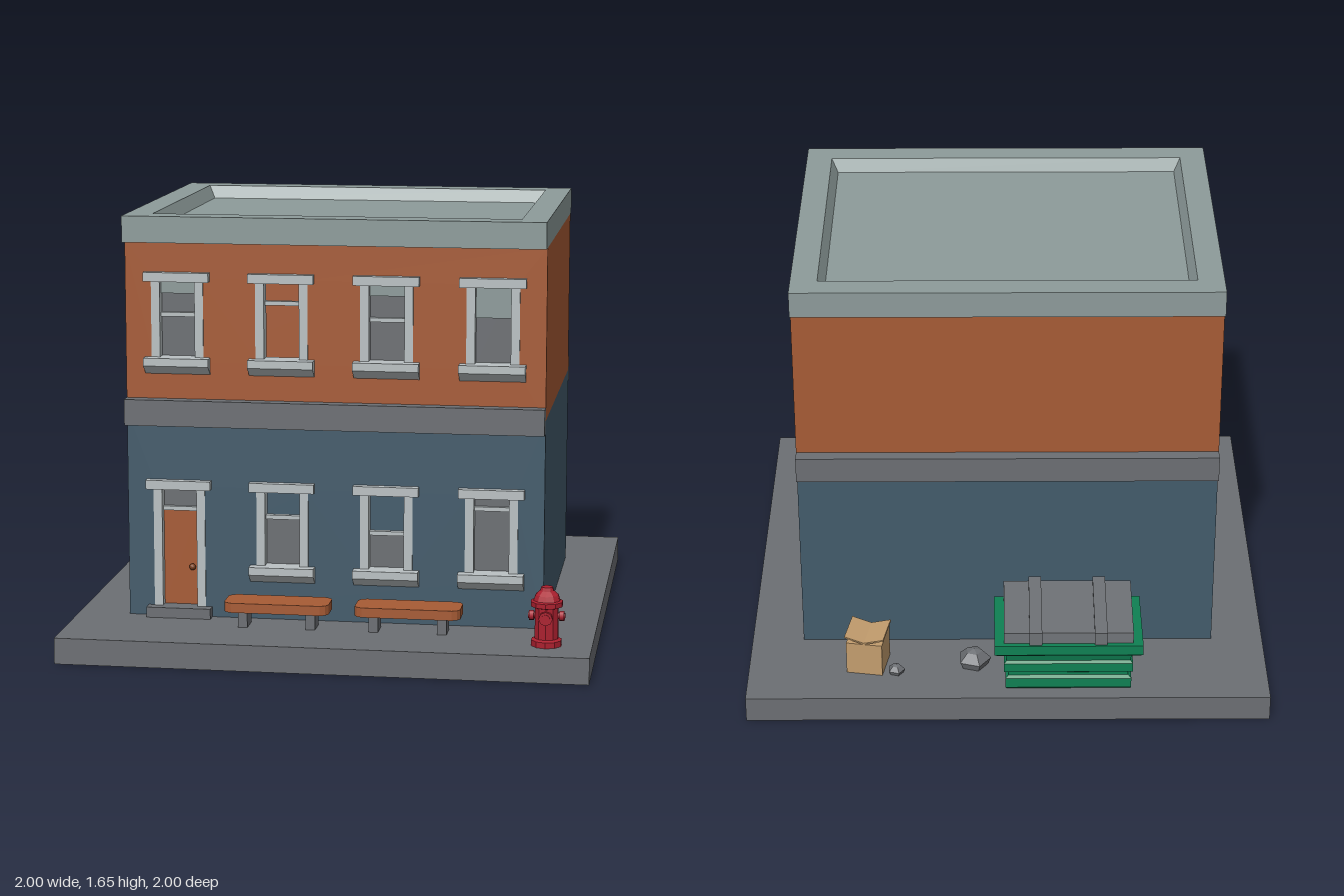
import * as THREE from 'three';

const mat = (name, color) => Object.assign(new THREE.MeshStandardMaterial({ color }), { name });

// Stack of rectangular rings [halfWidth, y, halfDepth], joined from bottom to top
function ringStack(rings) {
  const corners = [[1, 1], [1, -1], [-1, -1], [-1, 1]];
  const pos = [];
  const pt = ([w, y, d], i) => [corners[i % 4][0] * w, y, corners[i % 4][1] * d];
  for (let r = 0; r < rings.length - 1; r++) {
    for (let i = 0; i < 4; i++) {
      const a = pt(rings[r], i), b = pt(rings[r], i + 1);
      const c = pt(rings[r + 1], i + 1), d = pt(rings[r + 1], i);
      pos.push(...a, ...b, ...c, ...a, ...c, ...d);
    }
  }
  const g = new THREE.BufferGeometry();
  g.setAttribute('position', new THREE.Float32BufferAttribute(pos, 3));
  g.computeVertexNormals();
  return g;
}

// Profile in (z, y) extruded along x, centred on x = 0
function alongX(points, width) {
  const s = new THREE.Shape(points.map(([z, y]) => new THREE.Vector2(-z, y)));
  const g = new THREE.ExtrudeGeometry(s, { depth: width, bevelEnabled: false });
  g.translate(0, 0, -width / 2);
  return g.rotateY(Math.PI / 2);
}

// Faceted lathe from [radius, y] pairs
function facetedLathe(points, sides) {
  const g = new THREE.LatheGeometry(points.map(([r, y]) => new THREE.Vector2(r, y)), sides).toNonIndexed();
  g.computeVertexNormals();
  return g;
}

export function createModel() {
  const model = new THREE.Group();
  model.name = 'streetBuilding';

  const concrete = mat('concreteGrey', 0x6c6f73);
  const blue = mat('slateBlue', 0x435b6b);
  const brick = mat('brickOrange', 0xa75b35);
  const stone = mat('roofGrey', 0x8d9b9a);
  const trim = mat('paleTrim', 0xbac1c3);
  const red = mat('hydrantRed', 0xab1f2e);
  const green = mat('dumpsterGreen', 0x0f8053);
  const card = mat('cardboard', 0xc39d6e);
  const bronze = mat('knobBronze', 0x7a4020);

  const add = (parent, name, geo, material, x = 0, y = 0, z = 0) => {
    const m = new THREE.Mesh(geo, material);
    m.name = name;
    m.position.set(x, y, z);
    parent.add(m);
    return m;
  };
  // Box given by its extents on each axis
  const box = (parent, name, material, x0, x1, y0, y1, z0, z1) =>
    add(parent, name, new THREE.BoxGeometry(x1 - x0, y1 - y0, z1 - z0), material,
      (x0 + x1) / 2, (y0 + y1) / 2, (z0 + z1) / 2);
  const group = (name, x = 0, y = 0, z = 0) => {
    const g = new THREE.Group();
    g.name = name;
    g.position.set(x, y, z);
    model.add(g);
    return g;
  };

  box(model, 'pavement', concrete, -1, 1, 0, 0.1, -1, 1);

  // Hollow storeys, front wall pierced by openings [x, bottom, top]
  function storey(name, material, y0, y1, openings) {
    const g = group(name);
    box(g, 'backWall', material, -0.8, 0.8, y0, y1, -0.6, -0.58);
    for (const s of [-1, 1]) box(g, 'sideWall', material, s * 0.79 - 0.01, s * 0.79 + 0.01, y0, y1, -0.58, 0.57);
    const rect = (C, l, r, b, t) => new C([[l, b], [r, b], [r, t], [l, t]].map(p => new THREE.Vector2(...p)));
    const wall = rect(THREE.Shape, -0.8, 0.8, y0, y1);
    for (const [x, b, t] of openings) wall.holes.push(rect(THREE.Path, x - 0.09, x + 0.09, b, t));
    add(g, 'frontWall', new THREE.ExtrudeGeometry(wall, { depth: 0.03, bevelEnabled: false }), material, 0, 0, 0.57);
  }
  const columns = [-0.6, -0.2, 0.2, 0.6];
  storey('groundFloor', blue, 0.1, 0.9, columns.map((x, i) => [x, i ? 0.29 : 0.13, 0.61]));
  storey('upperFloor', brick, 0.9, 1.55, columns.map(x => [x, 1.09, 1.41]));

  // Ledges on front and back only
  for (const s of [-1, 1]) box(model, 'ledge', concrete, -0.8, 0.8, 0.85, 0.95, s * 0.625 - 0.025, s * 0.625 + 0.025);

  // Roof slab with a sloped recess
  add(model, 'roof', ringStack([[0, 1.55, 0], [0.8, 1.55, 0.65], [0.8, 1.65, 0.65],
    [0.7, 1.65, 0.55], [0.675, 1.6, 0.525], [0, 1.6, 0]]), stone);

  // Lintel and jambs shared by windows and door
  function surround(g, bottom, top) {
    box(g, 'lintel', trim, -0.125, 0.125, top, top + 0.035, 0.55, 0.63);
    for (const s of [-1, 1]) box(g, 'jamb', trim, s * 0.0835 - 0.0165, s * 0.0835 + 0.0165, bottom, top, 0.55, 0.605);
  }
  const pane = (g, name, material, y0, y1, z) => box(g, name, material, -0.067, 0.067, y0, y1, z, z + 0.008);

  // Windows: pane = [bottom, top], bar height and blind bottom are optional
  function windowUnit(x, y, { glass, bar, blind }) {
    const g = group('window', x, y, 0);
    surround(g, 0, 0.3);
    add(g, 'sill', alongX([[0.55, 0.01], [0.645, 0.01], [0.645, -0.02], [0.6, -0.055], [0.55, -0.055]], 0.25), trim);
    if (glass) pane(g, 'pane', concrete, glass[0], glass[1], 0.555);
    if (bar) box(g, 'sashBar', trim, -0.067, 0.067, bar - 0.008, bar + 0.008, 0.555, 0.58);
    if (blind) pane(g, 'blind', stone, blind, 0.3, 0.565);
  }
  windowUnit(-0.6, 1.1, { glass: [0, 0.3], bar: 0.17, blind: 0.25 });
  windowUnit(-0.2, 1.1, { bar: 0.22 });
  windowUnit(0.2, 1.1, { glass: [0, 0.3], bar: 0.165, blind: 0.255 });
  windowUnit(0.6, 1.1, { glass: [0, 0.3], blind: 0.18 });
  windowUnit(-0.2, 0.3, { glass: [0, 0.19], bar: 0.195 });
  windowUnit(0.2, 0.3, { glass: [0, 0.14], bar: 0.145 });
  windowUnit(0.6, 0.3, { glass: [0, 0.3], bar: 0.252 });

  // Door with transom, knob and step
  const door = group('door', -0.6, 0, 0);
  surround(door, 0.14, 0.6);
  box(door, 'doorLeaf', brick, -0.067, 0.067, 0.14, 0.51, 0.555, 0.57);
  box(door, 'transomBar', trim, -0.067, 0.067, 0.51, 0.526, 0.555, 0.58);
  pane(door, 'transom', concrete, 0.526, 0.6, 0.555);
  add(door, 'doorKnob', new THREE.SphereGeometry(0.013, 8, 6), bronze, 0.045, 0.29, 0.582);
  box(door, 'doorStep', concrete, -0.125, 0.125, 0.1, 0.14, 0.55, 0.645);

  // Benches with clipped seat corners
  for (const x of [-0.2, 0.3]) {
    const g = group('bench', x, 0, 0.7);
    const outline = [[0.2, 0.045], [0.19, 0.062], [0.17, 0.072]];
    const mirrored = outline.map(([a, b]) => [-a, b]).reverse();
    const half = [...outline, ...mirrored];
    const seat = new THREE.Shape([...half, ...half.map(([a, b]) => [-a, -b])].map(p => new THREE.Vector2(...p)));
    const geo = new THREE.ExtrudeGeometry(seat, { depth: 0.037, bevelEnabled: false }).rotateX(-Math.PI / 2);
    add(g, 'benchSeat', geo, brick, 0, 0.163, 0);
    for (const s of [-1, 1]) box(g, 'benchLeg', concrete, s * 0.13 - 0.018, s * 0.13 + 0.018, 0.1, 0.163, -0.045, 0.045);
  }

  // Hydrant with front and side outlets
  const hydrant = group('hydrant', 0.83, 0.1, 0.83);
  add(hydrant, 'hydrantBody', facetedLathe([[0, 0], [0.058, 0], [0.058, 0.022], [0.045, 0.028], [0.045, 0.145],
    [0.061, 0.15], [0.061, 0.168], [0.051, 0.172], [0.044, 0.192], [0.026, 0.208], [0.022, 0.222], [0, 0.222]], 10), red);
  for (const [a, r, len] of [[0, 0.026, 0.06], [Math.PI / 2, 0.019, 0.068], [-Math.PI / 2, 0.019, 0.068]]) {
    const arm = new THREE.Group();
    arm.name = 'outlet';
    arm.rotation.y = a;
    hydrant.add(arm);
    const cyl = (rad, l) => new THREE.CylinderGeometry(rad, rad, l, 8).toNonIndexed().rotateX(Math.PI / 2);
    add(arm, 'outletCap', cyl(r, 0.018), red, 0, 0.112, len - 0.012);
    add(arm, 'outletPipe', cyl(r * 0.65, len), red, 0, 0.112, len / 2);
  }

  // Dumpster: ribbed bin, rim and sloping lid with straps
  const dumpster = group('dumpster', -0.23, 0, -0.803);
  add(dumpster, 'bin', ringStack([[0, 0.1, 0], [0.235, 0.1, 0.13], [0.24, 0.115, 0.147], [0.24, 0.155, 0.147],
    [0.228, 0.165, 0.136], [0.228, 0.178, 0.136], [0.245, 0.188, 0.15], [0.245, 0.225, 0.15],
    [0.235, 0.235, 0.142], [0.24, 0.268, 0.15], [0.272, 0.272, 0.165], [0.282, 0.28, 0.173],
    [0.282, 0.32, 0.173], [0, 0.32, 0]]), green);
  add(dumpster, 'lid', alongX([[0.156, 0.32], [0.152, 0.405], [-0.148, 0.363], [-0.153, 0.32]], 0.49), concrete);
  for (const x of [-0.122, 0.125])
    add(dumpster, 'lidStrap', alongX([[0.166, 0.32], [0.162, 0.418], [-0.163, 0.372], [-0.166, 0.32]], 0.048), concrete, x);

  // Cardboard box with two half-raised flaps
  const carton = group('carton', 0.54, 0.1, -0.763);
  carton.rotation.y = -0.17;
  box(carton, 'cartonBody', card, -0.07, 0.07, 0, 0.135, -0.073, 0.073);
  for (const s of [-1, 1]) {
    const flap = add(carton, 'cartonFlap', new THREE.BoxGeometry(0.08, 0.006, 0.146), card, s * 0.038, 0.149, 0);
    flap.rotation.z = s * 0.28;
  }

  // Loose five-sided rubble
  for (const [x, z, r] of [[0.13, -0.77, 0.066], [0.43, -0.825, 0.034]]) {
    const rock = add(model, 'rubble', facetedLathe([[0, 0], [r * 0.8, 0], [r, r * 0.45], [r * 0.5, r * 0.95], [0, r * 1.1]], 5),
      concrete, x, 0.1, z);
    rock.rotation.y = -0.3;
  }

  return model;
}
